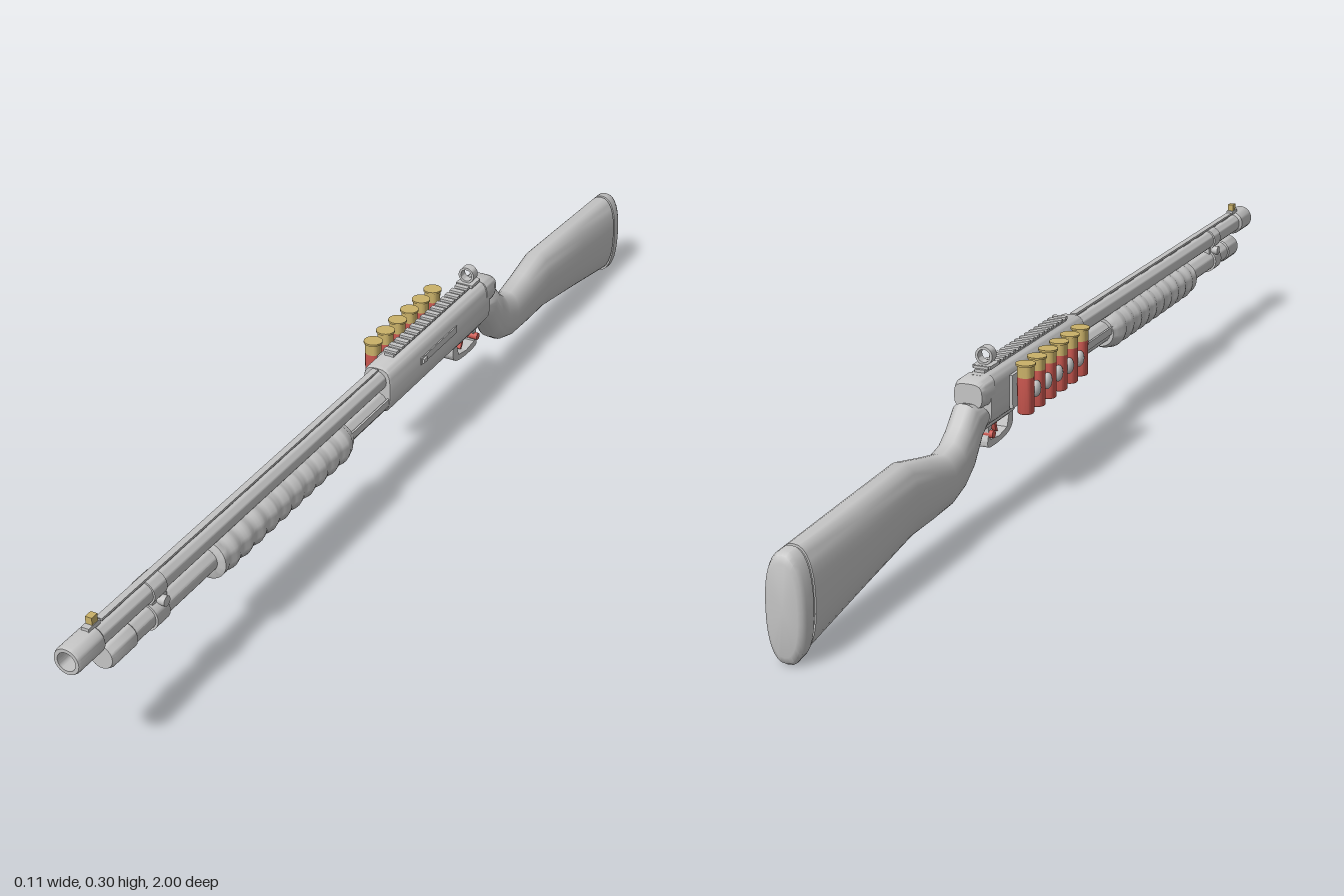
import * as THREE from 'three';
import { toCreasedNormals } from 'three/addons/utils/BufferGeometryUtils.js';

const mat = (name, color) => new THREE.MeshStandardMaterial({ name, color });

// Closed loft; each section: [zTop, yTop, zBottom, yBottom, halfWidth], ordered front to back
function loft(sections, power = 1, n = 32) {
  const pos = [], idx = [], m = sections.length;
  const bend = v => Math.sign(v) * Math.abs(v) ** power;
  for (const [zt, yt, zb, yb, w] of sections)
    for (let j = 0; j < n; j++) {
      const a = (j / n) * Math.PI * 2, s = (bend(Math.sin(a)) + 1) / 2;
      pos.push(w * bend(Math.cos(a)), yb + (yt - yb) * s, zb + (zt - zb) * s);
    }
  for (const [zt, yt, zb, yb] of [sections[0], sections[m - 1]]) pos.push(0, (yt + yb) / 2, (zt + zb) / 2);
  for (let j = 0; j < n; j++) {
    const k = (j + 1) % n, last = (m - 1) * n;
    for (let i = 0; i < m - 1; i++) {
      const a = i * n + j, d = i * n + k;
      idx.push(a, a + n, d, a + n, d + n, d);
    }
    idx.push(m * n, j, k, m * n + 1, last + k, last + j);
  }
  const g = new THREE.BufferGeometry();
  g.setAttribute('position', new THREE.Float32BufferAttribute(pos, 3));
  g.setIndex(idx);
  return toCreasedNormals(g, 0.7);
}

// Turned profile of [radius, height] points
const lathe = (pts, n = 32) =>
  toCreasedNormals(new THREE.LatheGeometry(pts.map(p => new THREE.Vector2(...p)), n), 0.6);

// Side outline in (z, y), extruded across x
function sidePlate(outer, hole, depth) {
  const shape = new THREE.Shape(new THREE.SplineCurve(outer.map(p => new THREE.Vector2(...p))).getPoints(40));
  if (hole) shape.holes.push(new THREE.Path(hole.map(p => new THREE.Vector2(...p))));
  return new THREE.ExtrudeGeometry(shape, { depth, bevelEnabled: false, curveSegments: 8 })
    .rotateY(-Math.PI / 2).translate(depth / 2, 0, 0);
}

export function createModel() {
  const model = new THREE.Group();
  const body = new THREE.Group();
  body.name = 'shotgun';
  body.position.x = 0.0135;
  model.add(body);
  const grey = mat('grey metal', 0xc4c4c4), red = mat('red plastic', 0xcc5850), brass = mat('brass', 0xc9b068);

  const add = (name, geo, material, x = 0, y = 0, z = 0) => {
    const mesh = new THREE.Mesh(geo, material);
    mesh.name = name;
    mesh.position.set(x, y, z);
    body.add(mesh);
    return mesh;
  };
  const box = (name, w, h, d, x, y, z, m = grey) => add(name, new THREE.BoxGeometry(w, h, d), m, x, y, z);
  const turned = (name, pts, y, n) => add(name, lathe(pts, n).rotateX(Math.PI / 2), grey, 0, y, 0);
  const crossPin = (name, r, len, y, z, m = grey) =>
    add(name, new THREE.CylinderGeometry(r, r, len, 16).rotateZ(Math.PI / 2), m, 0, y, z);

  // Hollow barrel with thicker muzzle
  turned('barrel', [[0.0195, 0], [0.0195, 0.93], [0.0245, 0.935], [0.0245, 0.995], [0.0225, 1],
    [0.0165, 1], [0.0165, 0.85], [0, 0.85]], 0.2325);

  // Ventilated rib
  box('rib', 0.012, 0.004, 0.86, 0, 0.2565, 0.485);
  for (let i = 0; i < 11; i++) box('ribPost', 0.008, 0.008, 0.04, 0, 0.2515, 0.09 + i * 0.079);

  // Magazine tube with cap
  turned('magazineTube', [[0.0215, 0], [0.0215, 0.85], [0.024, 0.853], [0.024, 0.91], [0.021, 0.917], [0, 0.917]], 0.187);

  // Clamp joining barrel and tube
  turned('tubeClamp', [[0, 0.765], [0.0255, 0.765], [0.0255, 0.8], [0, 0.8]], 0.187);
  turned('barrelClamp', [[0, 0.765], [0.0225, 0.765], [0.0225, 0.8], [0, 0.8]], 0.2325);
  box('clampWeb', 0.026, 0.05, 0.04, 0, 0.21, 0.775);
  crossPin('clampScrew', 0.009, 0.054, 0.21, 0.775);

  // Ribbed sliding grip
  const grip = [[0, 0.185], [0.028, 0.185], [0.031, 0.195]];
  const ridges = 10;
  for (let i = 0; i <= ridges * 6; i++) {
    const t = i / (ridges * 6);
    grip.push([0.0345 + 0.0045 * Math.sin(t * ridges * Math.PI) ** 2, 0.2 + t * 0.405]);
  }
  grip.push([0.036, 0.61], [0.036, 0.62], [0.03, 0.623], [0, 0.623]);
  turned('slideGrip', grip, 0.186);
  for (const s of [-1, 1]) box('actionBar', 0.004, 0.014, 0.2, s * 0.0235, 0.193, 0.12);

  // Receiver with overhanging tail
  add('receiver', loft([[0.05, 0.257, 0.05, 0.171, 0.027], [0.045, 0.26, 0.045, 0.168, 0.029],
    [-0.355, 0.26, -0.355, 0.168, 0.029]], 0.6), grey);
  add('receiverTail', loft([[-0.34, 0.26, -0.34, 0.205, 0.029], [-0.375, 0.259, -0.375, 0.208, 0.029],
    [-0.386, 0.253, -0.386, 0.21, 0.026]], 0.6), grey);
  box('ejectionPort', 0.006, 0.014, 0.145, 0.028, 0.222, -0.137);
  box('boltHandle', 0.012, 0.008, 0.014, 0.029, 0.222, -0.075);

  // Toothed top rail
  box('railBase', 0.019, 0.01, 0.345, 0, 0.26, -0.168);
  for (let i = 0; i < 17; i++) box('railTooth', 0.027, 0.005, 0.011, 0, 0.267, -0.005 - i * 0.0203);

  // Ring rear sight
  box('rearSightBase', 0.034, 0.006, 0.035, 0, 0.267, -0.315);
  add('rearSightRing', lathe([[0.0115, -0.009], [0.016, -0.009], [0.016, 0.009], [0.0115, 0.009], [0.0115, -0.009]])
    .rotateX(Math.PI / 2), grey, 0, 0.2845, -0.315);

  // Front sight
  box('frontSightBase', 0.014, 0.008, 0.03, 0, 0.258, 0.935);
  box('frontSightBead', 0.012, 0.013, 0.015, 0, 0.2685, 0.932, brass);

  // Trigger guard, trigger and safety
  box('triggerPlate', 0.026, 0.012, 0.12, 0, 0.168, -0.29);
  add('triggerGuard', sidePlate(
    [[-0.235, 0.168], [-0.234, 0.143], [-0.25, 0.128], [-0.29, 0.122], [-0.33, 0.123], [-0.336, 0.133],
      [-0.332, 0.15], [-0.335, 0.168]],
    [[-0.25, 0.16], [-0.318, 0.16], [-0.324, 0.15], [-0.324, 0.136], [-0.29, 0.132], [-0.258, 0.138]], 0.023), grey);
  add('trigger', sidePlate([[-0.28, 0.165], [-0.284, 0.15], [-0.28, 0.137], [-0.287, 0.14], [-0.292, 0.152],
    [-0.294, 0.165]], null, 0.008), red);
  crossPin('safetyButton', 0.007, 0.038, 0.147, -0.326, red);

  // Stock with curved grip, and butt pad
  add('stock', loft([
    [-0.372, 0.215, -0.34, 0.172, 0.025], [-0.405, 0.224, -0.372, 0.148, 0.027],
    [-0.432, 0.195, -0.405, 0.105, 0.028], [-0.458, 0.174, -0.44, 0.083, 0.029],
    [-0.495, 0.165, -0.485, 0.07, 0.03], [-0.555, 0.178, -0.555, 0.067, 0.031],
    [-0.63, 0.196, -0.63, 0.067, 0.0335], [-0.8, 0.189, -0.8, 0.039, 0.0345],
    [-0.962, 0.182, -0.962, 0.01, 0.0345]], 0.85), grey);
  add('buttPad', loft([[-0.962, 0.178, -0.962, 0.013, 0.032], [-0.967, 0.178, -0.967, 0.013, 0.032],
    [-0.968, 0.182, -0.968, 0.003, 0.0345], [-0.988, 0.181, -0.988, 0, 0.034],
    [-0.996, 0.176, -0.996, 0.005, 0.031], [-1, 0.165, -1, 0.016, 0.025]], 0.85), grey);

  // Side carrier with six spare shells
  const sx = -0.0515, casing = lathe([[0, 0.172], [0.0135, 0.172], [0.0148, 0.174], [0.0148, 0.24]], 24);
  const head = lathe([[0.0151, 0.238], [0.0151, 0.258], [0.0175, 0.2585], [0.0175, 0.262], [0, 0.262]], 24);
  box('carrierPlate', 0.006, 0.06, 0.27, -0.0315, 0.212, -0.148);
  for (let i = 0; i < 6; i++) {
    const z = -0.03 - i * 0.0472;
    add('shellCasing', casing, red, sx, 0, z);
    add('shellHead', head, brass, sx, 0, z);
    if (i === 5) continue;
    // Retaining finger between neighbouring shells
    box('carrierFinger', 0.03, 0.02, 0.012, -0.046, 0.21, z - 0.0236);
    add('carrierFingerTip', new THREE.SphereGeometry(1, 16, 10).scale(0.008, 0.015, 0.0125), grey, -0.0605, 0.21, z - 0.0236);
  }
  return model;
}
